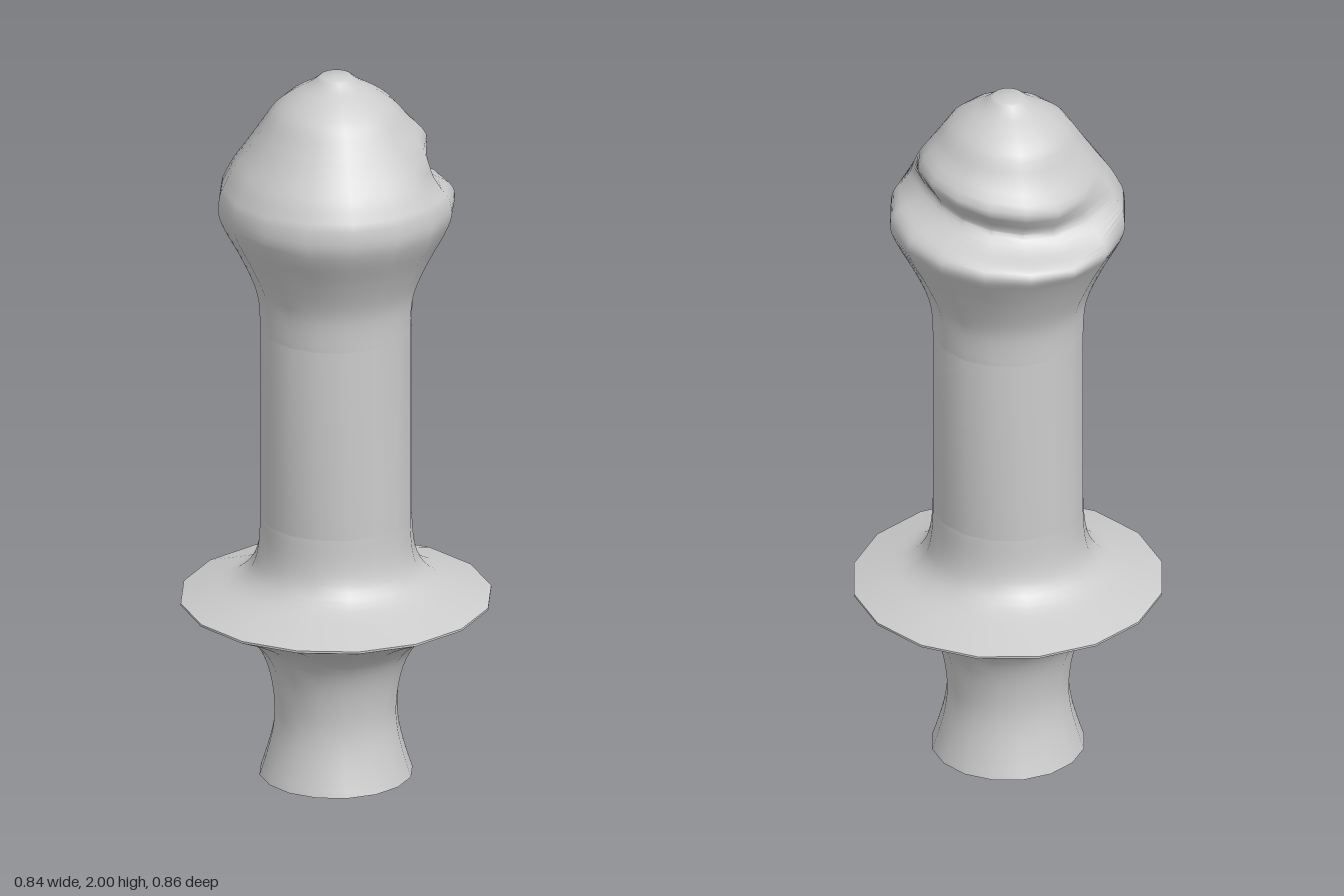
import * as THREE from 'three';
import { toCreasedNormals } from 'three/addons/utils/BufferGeometryUtils.js';

const SIDES = 16;
const material = new THREE.MeshStandardMaterial({ color: 0xcccccc });

// Smooth profile through [radius, height] points, sampled evenly between them
function profile(points, steps) {
  const curve = new THREE.SplineCurve(points.map(([r, y]) => new THREE.Vector2(r, y)));
  return curve.getPoints((points.length - 1) * steps);
}

function lathePart(name, points, reshape) {
  const geometry = new THREE.LatheGeometry(points, SIDES);
  if (reshape) reshape(geometry.attributes.position);
  geometry.scale(1, 1, 1.02);
  const mesh = new THREE.Mesh(toCreasedNormals(geometry, 0.75), material);
  mesh.name = name;
  return mesh;
}

export function createModel() {
  const group = new THREE.Group();
  group.name = 'handle';

  // Waisted foot, closed underneath and flaring out to the guard's rim
  const foot = profile([
    [0.207, 0], [0.188, 0.06], [0.171, 0.13], [0.166, 0.2], [0.178, 0.29],
    [0.205, 0.36], [0.25, 0.41], [0.325, 0.455], [0.42, 0.5],
  ], 3);
  group.add(lathePart('foot', [new THREE.Vector2(0, 0), ...foot]));

  // Upper face of the guard, curving into the straight shaft
  const guard = profile([
    [0.42, 0.506], [0.34, 0.533], [0.27, 0.56], [0.228, 0.6], [0.21, 0.66], [0.205, 0.74],
  ], 3);
  group.add(lathePart('guard', [new THREE.Vector2(0.42, 0.5), ...guard]));
  group.add(lathePart('shaft', [[0.205, 0.74], [0.205, 1.0], [0.205, 1.28]]
    .map(([r, y]) => new THREE.Vector2(r, y))));

  // Bulbous head: plain profile in front, grooved profile at the back
  const lower = [[0.205, 1.28], [0.209, 1.36], [0.225, 1.42], [0.262, 1.5]];
  const upper = [[0.165, 1.91], [0.115, 1.95], [0.07, 1.977], [0.042, 2]];
  const plain = profile([
    ...lower, [0.3, 1.57], [0.318, 1.62], [0.315, 1.67], [0.303, 1.7],
    [0.285, 1.735], [0.265, 1.765], [0.24, 1.8], [0.2, 1.86], ...upper,
  ], 3);
  const grooved = profile([
    ...lower, [0.295, 1.56], [0.323, 1.615], [0.305, 1.645], [0.25, 1.67],
    [0.213, 1.705], [0.232, 1.745], [0.246, 1.785], [0.2, 1.85], ...upper,
  ], 3);
  const tip = new THREE.Vector2(0, 2);
  plain.push(tip);
  grooved.push(tip);

  group.add(lathePart('head', plain, (position) => {
    for (let i = 0; i < position.count; i++) {
      const j = i % plain.length;
      const angle = Math.floor(i / plain.length) / SIDES * Math.PI * 2;
      const back = -Math.cos(angle), side = Math.sin(angle);
      // The groove fades out towards the sides and climbs to the left
      const weight = THREE.MathUtils.smoothstep(back + 0.12 * side, -0.15, 0.7);
      const p = plain[j].clone().lerp(grooved[j], weight);
      const band = THREE.MathUtils.smoothstep(p.y, 1.55, 1.68)
        * (1 - THREE.MathUtils.smoothstep(p.y, 1.8, 1.92));
      position.setXYZ(i, p.x * side, p.y + 0.035 * side * weight * band, -p.x * back);
    }
  }));

  return group;
}
